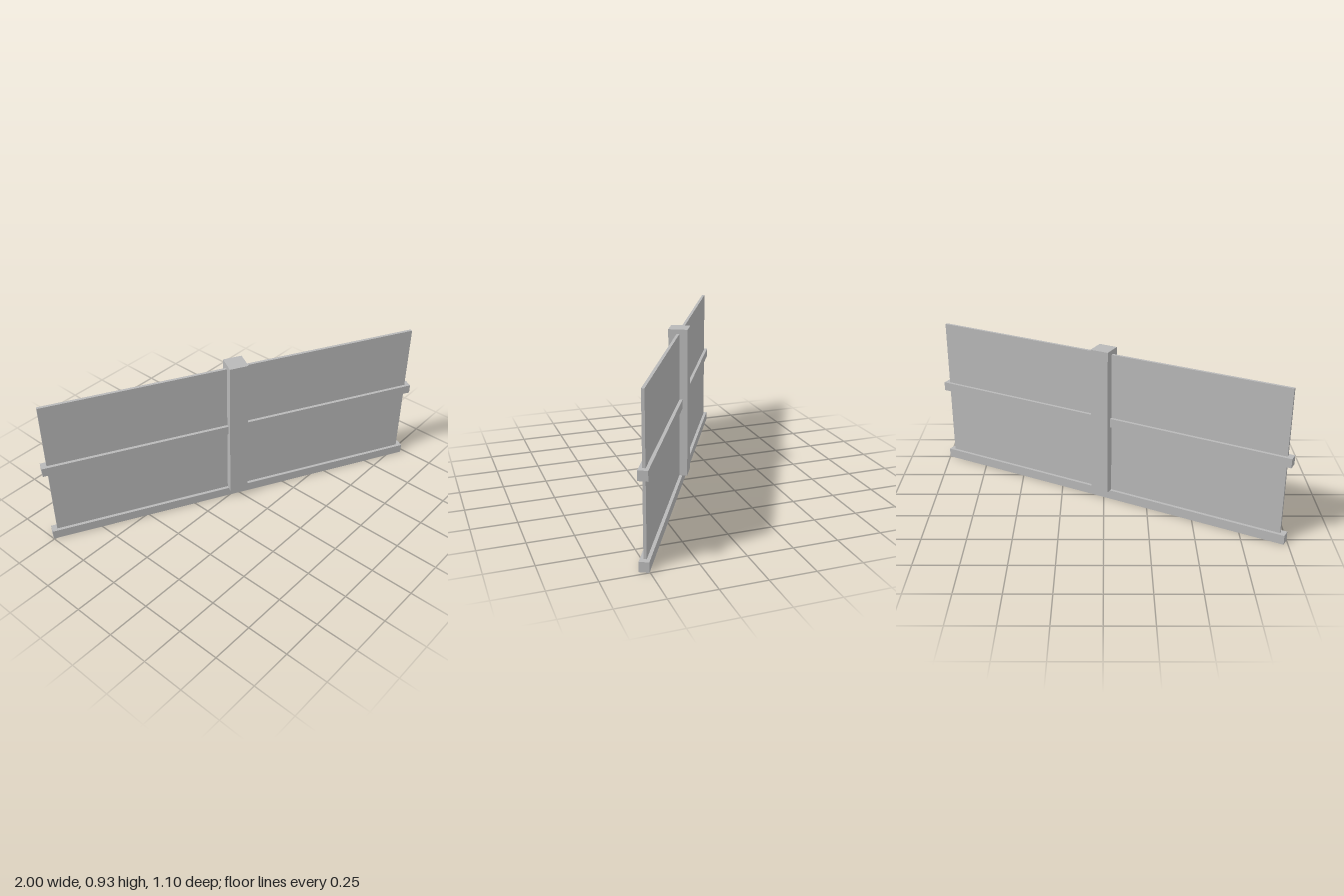
import * as THREE from 'three';

export function createModel() {
  const model = new THREE.Group();
  model.name = 'fencePanel';

  const grey = new THREE.MeshStandardMaterial({ color: 0xb8b8b8 });
  grey.name = 'plain grey';

  // Box standing between two heights, centred on the fence line
  const addBox = (name, length, bottom, top, depth) => {
    const mesh = new THREE.Mesh(new THREE.BoxGeometry(length, top - bottom, depth), grey);
    mesh.name = name;
    mesh.position.y = (bottom + top) / 2;
    model.add(mesh);
  };

  addBox('bottomRail', 2.24, 0, 0.055, 0.052);
  addBox('middleRail', 2.24, 0.467, 0.52, 0.052);
  addBox('panel', 2.18, 0.055, 0.902, 0.016);
  addBox('post', 0.109, 0.055, 0.928, 0.109);

  // The fence runs diagonally, from back right to front left
  model.rotation.y = -THREE.MathUtils.degToRad(28.1);

  const root = new THREE.Group();
  root.name = 'fence';
  root.add(model);
  return root;
}
